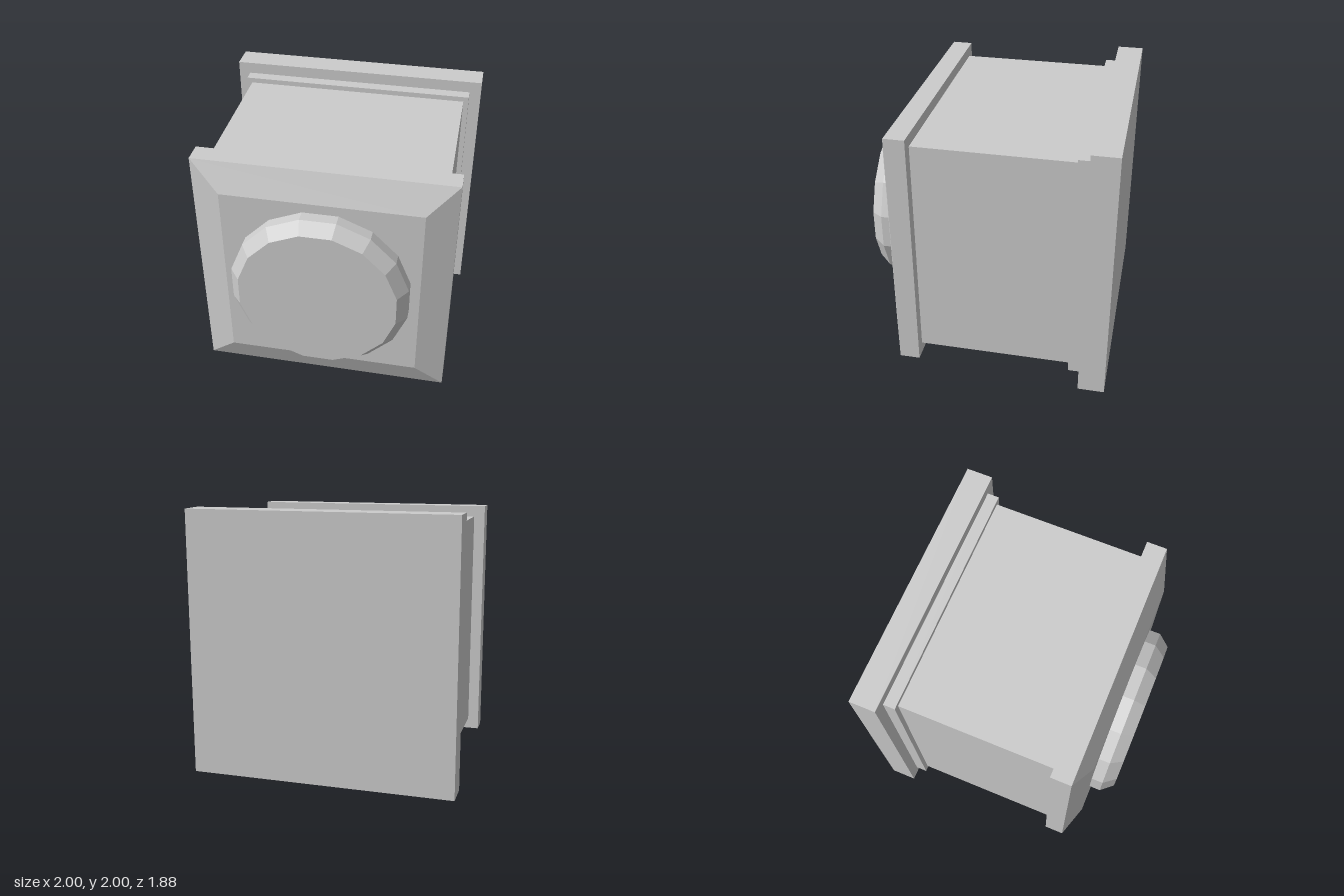
import * as THREE from 'three';

export function createModel() {
  const group = new THREE.Group();
  const grey = new THREE.MeshStandardMaterial({ color: 0xcccccc, flatShading: true });
  grey.name = 'grey';

  const add = (name, geometry, z = 0) => {
    const mesh = new THREE.Mesh(geometry, grey);
    mesh.name = name;
    mesh.position.set(0, 1, z);
    group.add(mesh);
  };

  // Square slab between two depths
  const slab = (name, half, back, front) =>
    add(name, new THREE.BoxGeometry(half * 2, half * 2, front - back), (back + front) / 2);

  // Faceted solid along z from [apothem, z] pairs, with flat sides facing up and sideways
  const faceted = (name, sides, profile) => {
    const k = 1 / Math.cos(Math.PI / sides);
    const points = profile.map(([r, z]) => new THREE.Vector2(r * k, z));
    const geometry = new THREE.LatheGeometry(points, sides, Math.PI / sides);
    geometry.rotateX(Math.PI / 2);
    add(name, geometry.toNonIndexed());
  };

  // Wall plate, step and square body
  slab('backPlate', 1, -0.94, -0.74);
  slab('collar', 0.91, -0.74, -0.65);
  slab('body', 0.87, -0.65, 0.52);

  // Front plate with sloping border
  faceted('frontPlate', 4, [[0, 0.52], [0.955, 0.52], [0.955, 0.675], [0.735, 0.763], [0, 0.763]]);

  // Round button: chamfered rim and flush face
  faceted('buttonRim', 16, [[0.66, 0.763], [0.66, 0.85], [0.585, 0.94], [0.505, 0.94]]);
  faceted('buttonFace', 16, [[0.505, 0.94], [0, 0.94]]);

  return group;
}
